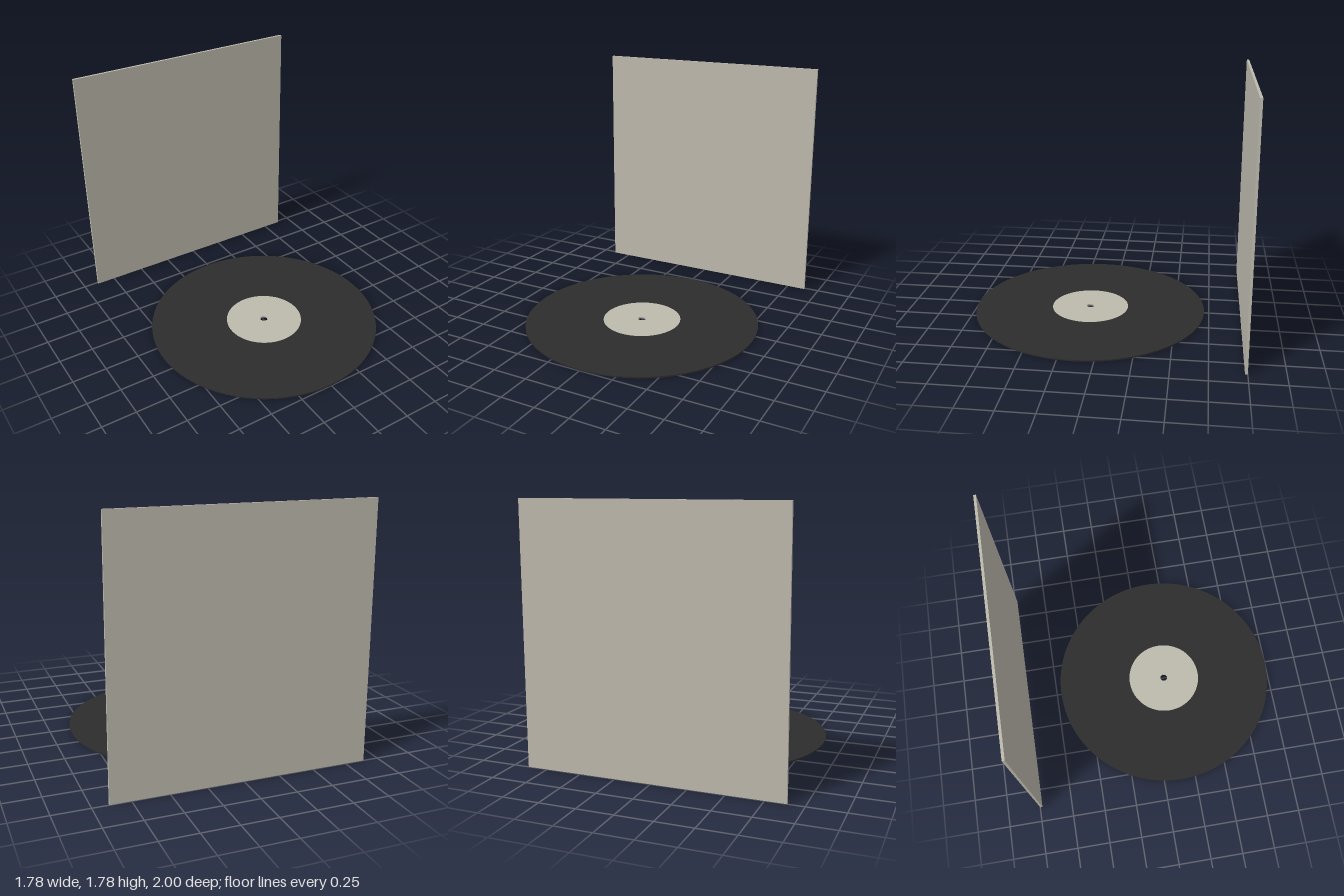
import * as THREE from 'three';

// Flat horizontal ring standing on y = bottom
function ring(name, outer, inner, bottom, height, material) {
  const shape = new THREE.Shape().absarc(0, 0, outer, 0, Math.PI * 2, false);
  shape.holes.push(new THREE.Path().absarc(0, 0, inner, 0, Math.PI * 2, true));
  const geometry = new THREE.ExtrudeGeometry(shape, {
    depth: height, bevelEnabled: false, curveSegments: 96,
  });
  geometry.rotateX(-Math.PI / 2);
  const mesh = new THREE.Mesh(geometry, material);
  mesh.name = name;
  mesh.position.y = bottom;
  return mesh;
}

export function createModel() {
  const card = new THREE.MeshStandardMaterial({ color: 0xbdb9ad });
  card.name = 'warm grey card';
  const vinyl = new THREE.MeshStandardMaterial({ color: 0x2d2d2d });
  vinyl.name = 'black vinyl';

  const model = new THREE.Group();
  model.name = 'recordAndSleeve';

  // Upright square sleeve at the back
  const sleeve = new THREE.Mesh(new THREE.BoxGeometry(1.78, 1.78, 0.018), card);
  sleeve.name = 'sleeve';
  sleeve.position.set(0, 0.89, -0.991);
  model.add(sleeve);

  // Record lying flat in front, with paper label and spindle hole
  const record = new THREE.Group();
  record.name = 'record';
  record.position.z = 0.143;
  record.add(
    ring('disc', 0.857, 0.285, 0.002, 0.01, vinyl),
    ring('label', 0.285, 0.028, 0.001, 0.012, card),
  );
  model.add(record);

  return model;
}
